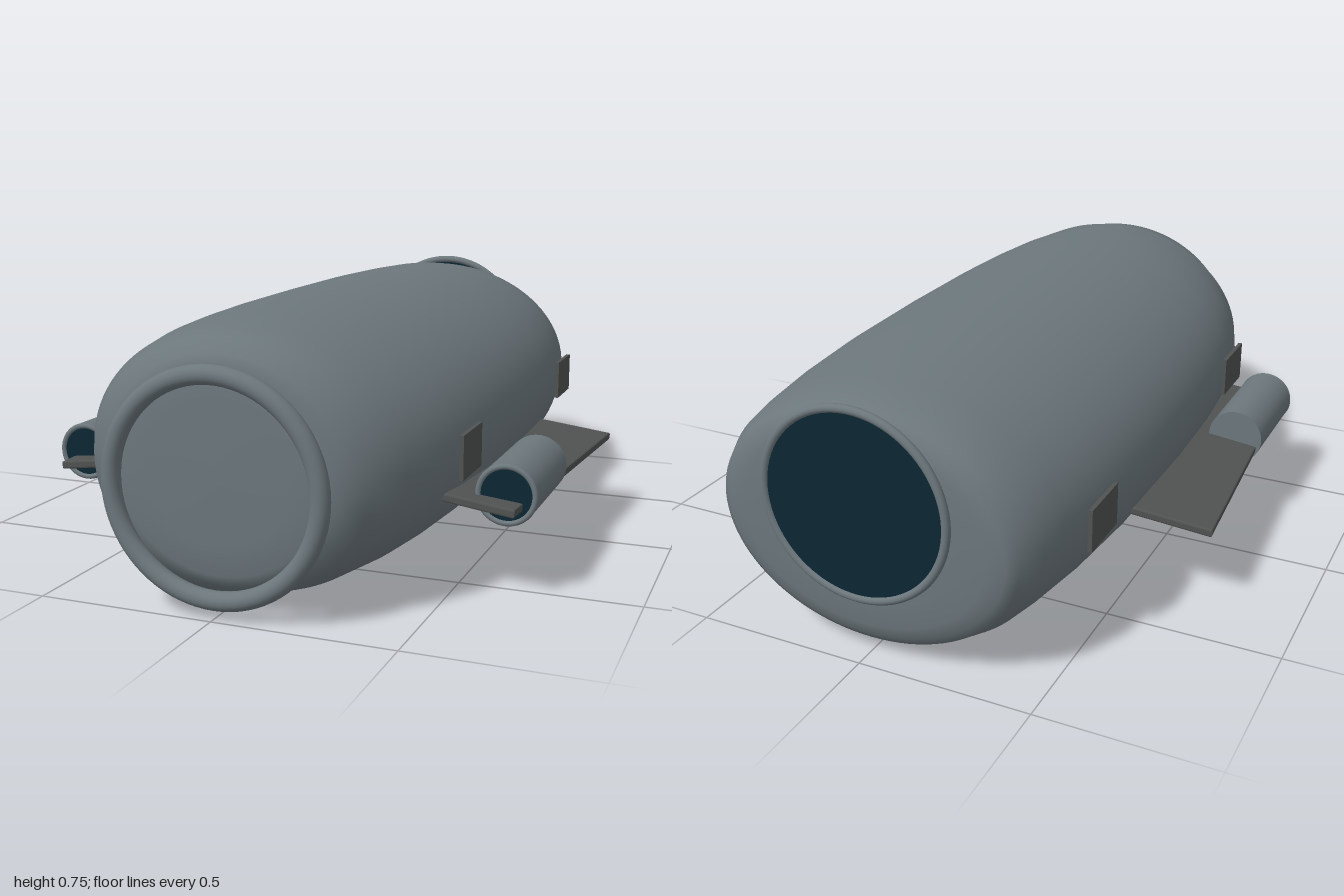
import * as THREE from 'three';

const mat = (name, color) => {
  const m = new THREE.MeshStandardMaterial({ color });
  m.name = name;
  return m;
};

// Oval hull lofted from [z, half width, half height] sections, back to front
function hullGeometry(sections, cy, n = 96) {
  const pos = [], index = [];
  for (const [z, w, h] of sections)
    for (let j = 0; j < n; j++) {
      const a = (j / n) * Math.PI * 2;
      pos.push(Math.cos(a) * w, cy + Math.sin(a) * h, z);
    }
  for (let i = 0; i < sections.length - 1; i++)
    for (let j = 0; j < n; j++) {
      const k = (j + 1) % n, a = i * n + j, b = i * n + k, c = b + n, d = a + n;
      index.push(a, b, c, a, c, d);
    }
  const g = new THREE.BufferGeometry();
  g.setAttribute('position', new THREE.Float32BufferAttribute(pos, 3));
  g.setIndex(index);
  g.computeVertexNormals();
  return g;
}

export function createModel() {
  const model = new THREE.Group();
  model.name = 'spacecraft';
  const hullGrey = mat('hull grey', 0x6c777c);
  const panelGrey = mat('dark panel grey', 0x505352);
  const deepBlue = mat('deep blue', 0x0c2633);

  const add = (name, geometry, material, x, y, z, parent = model) => {
    const m = new THREE.Mesh(geometry, material);
    m.name = name;
    m.position.set(x, y, z);
    parent.add(m);
    return m;
  };

  // Hull
  add('hull', hullGeometry([
    [-0.968, 0, 0], [-0.968, 0.26, 0.2], [-0.965, 0.36, 0.27], [-0.955, 0.41, 0.305],
    [-0.935, 0.44, 0.33], [-0.87, 0.472, 0.35], [-0.78, 0.49, 0.36], [-0.6, 0.518, 0.367],
    [-0.35, 0.538, 0.372], [0, 0.544, 0.373], [0.3, 0.537, 0.372], [0.5, 0.521, 0.369],
    [0.65, 0.497, 0.365], [0.8, 0.449, 0.357], [0.895, 0.389, 0.335], [0.93, 0.335, 0.302],
    [0.945, 0.29, 0.272], [0.95, 0.2, 0.19], [0.952, 0, 0],
  ], 0.377), hullGrey, 0, 0, 0);

  // Nose ring
  add('noseRing', new THREE.TorusGeometry(0.291, 0.026, 20, 80), hullGrey, 0, 0.342, 0.973);

  // Rear ring with its dark exhaust plate
  add('rearRing', new THREE.TorusGeometry(0.266, 0.012, 14, 80), hullGrey, 0, 0.465, -0.987);
  const plate = new THREE.CylinderGeometry(0.264, 0.264, 0.008, 80).rotateX(Math.PI / 2);
  add('exhaustPlate', plate, deepBlue, 0, 0.465, -0.987);

  // Wing planform, its second axis pointing forwards
  const planform = new THREE.Shape([
    [-0.14, 0.6], [0.075, 0.615], [0.142, -0.35], [-0.1, -0.365],
  ].map(([x, z]) => new THREE.Vector2(x, z)));
  const wingGeometry = new THREE.ExtrudeGeometry(planform, {
    depth: 0.014, bevelEnabled: true, bevelSize: 0.005, bevelThickness: 0.005, bevelSegments: 2,
  }).translate(0, 0, -0.007).rotateX(Math.PI / 2);

  const podGeometry = new THREE.CylinderGeometry(0.084, 0.084, 0.345, 48).rotateX(Math.PI / 2);
  const rimGeometry = new THREE.TorusGeometry(0.077, 0.008, 12, 48);
  const intakeGeometry = new THREE.CylinderGeometry(0.076, 0.076, 0.006, 48).rotateX(Math.PI / 2);
  const hatchGeometry = new THREE.BoxGeometry(0.012, 0.122, 0.174);

  for (const s of [1, -1]) {
    const side = new THREE.Group();
    side.name = s > 0 ? 'leftSide' : 'rightSide';
    model.add(side);

    // Wing, drooping slightly outwards; turned over for the other side
    const wing = add('wing', s > 0 ? wingGeometry : mirrorX(wingGeometry), panelGrey, s * 0.6, 0.26, 0, side);
    wing.rotation.z = -s * 0.11;

    // Engine pod with rim and intake
    add('enginePod', podGeometry, hullGrey, s * 0.64, 0.281, 0.3755, side);
    add('intakeRim', rimGeometry, hullGrey, s * 0.64, 0.281, 0.55, side);
    add('intake', intakeGeometry, deepBlue, s * 0.64, 0.281, 0.549, side);

    // Side hatches
    add('frontHatch', hatchGeometry, panelGrey, s * 0.529, 0.38, 0.508, side);
    add('rearHatch', hatchGeometry, panelGrey, s * 0.529, 0.38, -0.622, side);
  }
  return model;
}

// Mirrored copy with the corner order put right
function mirrorX(geometry) {
  const g = geometry.toNonIndexed ? geometry.clone().scale(-1, 1, 1) : geometry;
  const p = g.attributes.position;
  const a = new THREE.Vector3(), b = new THREE.Vector3();
  for (let i = 0; i < p.count; i += 3) {
    a.fromBufferAttribute(p, i + 1);
    b.fromBufferAttribute(p, i + 2);
    p.setXYZ(i + 1, b.x, b.y, b.z);
    p.setXYZ(i + 2, a.x, a.y, a.z);
  }
  g.computeVertexNormals();
  return g;
}
